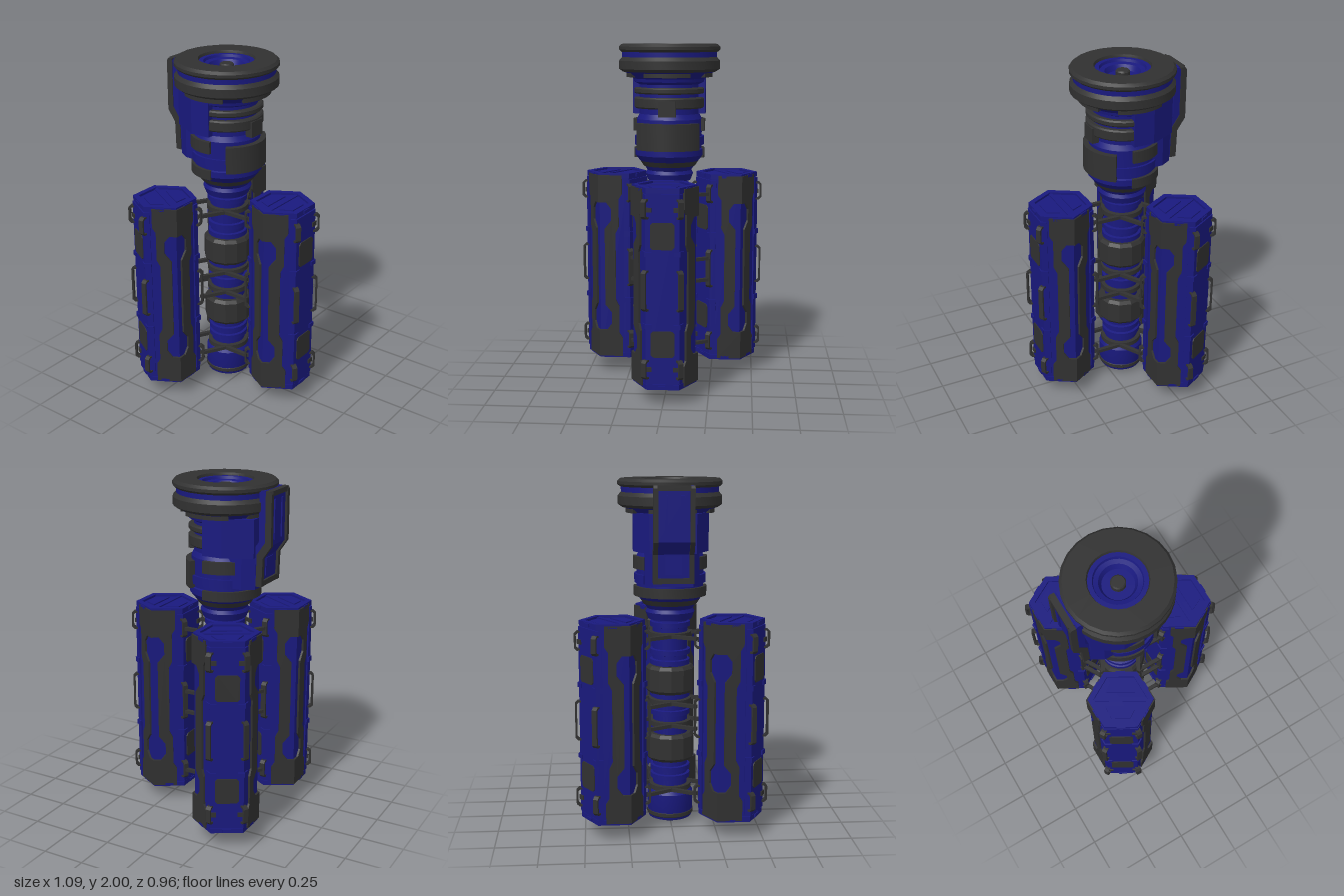
import * as THREE from 'three';
import { toCreasedNormals } from 'three/addons/utils/BufferGeometryUtils.js';

const blue = new THREE.MeshStandardMaterial({ color: 0x19197e });
blue.name = 'navy blue';
const dark = new THREE.MeshStandardMaterial({ color: 0x313131 });
dark.name = 'charcoal';

const R = 0.177, HALF = R / 2, APOTHEM = R * Math.cos(Math.PI / 6);
const MID = 0.665; // middle height of the pods
const rad = THREE.MathUtils.degToRad;

function add(parent, name, geometry, material, x = 0, y = 0, z = 0) {
  const mesh = new THREE.Mesh(geometry, material);
  mesh.name = name;
  mesh.position.set(x, y, z);
  parent.add(mesh);
  return mesh;
}
const box = (parent, name, mat, w, h, d, x, y, z) =>
  add(parent, name, new THREE.BoxGeometry(w, h, d), mat, x, y, z);
const toShape = pts => new THREE.Shape(pts.map(p => new THREE.Vector2(p[0], p[1])));
const extrude = (shape, depth) =>
  new THREE.ExtrudeGeometry(shape, { depth, bevelEnabled: false, curveSegments: 12 });
// Extrude a floor plan upwards
const raise = (shape, h) => extrude(shape, h).rotateX(-Math.PI / 2);

// Turned part; points run from bottom to top on the outside
function lathe(parent, name, mat, pts, sides = 32) {
  const g = new THREE.LatheGeometry(pts.map(p => new THREE.Vector2(p[0], p[1])), sides);
  return add(parent, name, toCreasedNormals(g, 0.4), mat);
}

// Curved plate around the column; angle 0 faces the front
function sector(parent, name, mat, r0, r1, angle, halfAngle, y0, y1) {
  const s = new THREE.Shape();
  const a = -Math.PI / 2 + rad(angle), h = rad(halfAngle);
  s.absarc(0, 0, r1, a - h, a + h, false);
  s.absarc(0, 0, r0, a + h, a - h, true);
  return add(parent, name, toCreasedNormals(raise(s, y1 - y0), 0.4), mat, 0, y0, 0);
}

// Plate on one hexagon face, mitred where it reaches a corner
function facePlate(parent, name, mat, angle, pts, depth) {
  const g = extrude(toShape(pts), depth), p = g.attributes.position;
  for (let i = 0; i < p.count; i++) {
    const x = p.getX(i);
    if (Math.abs(x) > HALF - 0.001) p.setX(i, x + Math.sign(x) * p.getZ(i) * Math.tan(Math.PI / 6));
  }
  g.computeVertexNormals();
  g.translate(0, 0, APOTHEM);
  add(parent, name, g, mat).rotation.y = rad(angle);
}
const rect = (x0, x1, y0, y1) => [[x0, y0], [x1, y0], [x1, y1], [x0, y1]];
const chamfered = (w, h, c, y) => [[-w, y - h + c], [-w + c, y - h], [w - c, y - h], [w, y - h + c],
  [w, y + h - c], [w - c, y + h], [-w + c, y + h], [-w, y + h - c]];
const hexPts = r => [0, 1, 2, 3, 4, 5].map(i =>
  [r * Math.cos(i * Math.PI / 3), r * Math.sin(i * Math.PI / 3)]);

// Looped grab handle standing out from a pod corner
function handle(parent, angle, y, h) {
  const pts = (o, c, x0) => [[x0, -h / 2 + o], [0.045 - o - c, -h / 2 + o], [0.045 - o, -h / 2 + o + c],
    [0.045 - o, h / 2 - o - c], [0.045 - o - c, h / 2 - o], [x0, h / 2 - o]];
  const s = toShape(pts(0, 0.015, -0.01));
  s.holes.push(toShape(pts(0.011, 0.01, 0.004)));
  const g = extrude(s, 0.03).translate(R - 0.01, 0, -0.015);
  add(parent, 'handle', g, dark, 0, y, 0).rotation.y = rad(angle - 90);
}

// Recessed hexagonal end of a pod
function podEnd() {
  const end = new THREE.Group();
  end.name = 'podEnd';
  const rim = toShape(hexPts(R + 0.006));
  rim.holes.push(toShape(hexPts(R - 0.028)));
  add(end, 'endRim', raise(rim, 0.03), blue, 0, -0.01, 0);
  box(end, 'endBar', blue, 2 * R - 0.05, 0.028, 0.022, 0, 0, 0);
  for (const side of [1, -1])
    for (const [k, h] of [[1, 0.008], [0.72, 0.016]]) {
      const t = (0.075 - 0.05 * k) * side, b = (0.075 + 0.045 * k) * side;
      const panel = toShape([[-0.12 * k, t], [0.12 * k, t], [0.072 * k, b], [-0.072 * k, b]]);
      add(end, 'endPanel', raise(panel, h), blue, 0, -0.002, 0);
    }
  for (let i = 0; i < 6; i++) {
    const lug = box(end, 'rimLug', blue, 0.05, 0.018, 0.012, 0, 0.006, 0);
    lug.geometry.translate(0, 0, APOTHEM + 0.006);
    lug.rotation.y = i * Math.PI / 3;
  }
  return end;
}

function pod() {
  const g = new THREE.Group();
  g.name = 'pod';
  const core = new THREE.CylinderGeometry(R, R, 1.115, 6).toNonIndexed();
  core.rotateY(Math.PI / 6);
  core.computeVertexNormals();
  add(g, 'podCore', core, blue, 0, MID, 0);

  // Corner armour with a dumbbell-shaped opening; t runs from the corner
  const lower = [[0, 0.105], [0.135, 0.105], [0.135, 0.22], [0.115, 0.25], [0.115, 0.42], [0.095, 0.46]];
  const slot = [[0.03, 0.43], [0.07, 0.38], [0.07, 0.31], [0.04, 0.27], [0, 0.27]];
  const flip = pts => pts.map(([t, y]) => [t, 2 * MID - y]).reverse();
  const armour = [...lower, ...flip(lower), ...flip(slot), ...slot];
  for (const [angle, sign] of [[60, 1], [120, -1], [240, 1], [300, -1]]) {
    facePlate(g, 'cornerArmour', dark, angle, armour.map(([t, y]) => [sign * (HALF - t), y]), 0.012);
    const edge = [-sign * HALF, -sign * (HALF - 0.03)].sort((a, b) => a - b);
    facePlate(g, 'edgeTrim', blue, angle, rect(edge[0], edge[1], 0.13, 1.2), 0.009);
    for (const y of [0.46, 0.87])
      facePlate(g, 'edgeLug', blue, angle, rect(edge[0], edge[1], y - 0.015, y + 0.015), 0.016);
  }
  // Flat outer and inner faces
  for (const angle of [0, 180]) {
    facePlate(g, 'facePlate', blue, angle, rect(-HALF, HALF, 0.13, 1.2), 0.009);
    for (const y of [0.36, 0.97])
      facePlate(g, 'darkPanel', dark, angle, chamfered(0.067, 0.075, 0.014, y), 0.014);
    for (const [y, mat] of [[0.46, blue], [0.87, blue], [0.215, dark], [1.115, dark]])
      for (const x of [-0.075, 0.075])
        facePlate(g, 'faceLug', mat, angle, rect(x - 0.015, x + 0.015, y - 0.013, y + 0.013), 0.016);
  }
  // Handles on four corners, struts on the inner side
  for (const angle of [30, -30, 150, -150])
    for (const [y, h] of [[0.215, 0.11], [MID, 0.23], [1.12, 0.11]]) handle(g, angle, y, h);
  for (const x of [-0.1, 0.1])
    for (const y of [0.215, 0.6, 0.73, 1.12])
      box(g, 'strut', dark, 0.022, 0.02, 0.17, x, y, -0.255);

  const top = podEnd(), bottom = podEnd();
  top.position.y = 1.215;
  bottom.position.y = 0.115;
  bottom.rotation.x = Math.PI;
  g.add(top, bottom);
  return g;
}

function column(g) {
  lathe(g, 'columnCore', blue, [[0, 0.02], [0.08, 0.02], [0.1, 0.05], [0.1, 1.3], [0, 1.3]]);
  lathe(g, 'columnFoot', blue, [[0, 0], [0.05, 0], [0.09, 0.02], [0.125, 0.03], [0.132, 0.05],
    [0.132, 0.18], [0.12, 0.2], [0.09, 0.2]]);
  lathe(g, 'footRing', dark, [[0.12, 0.035], [0.135, 0.05], [0.135, 0.07], [0.12, 0.08]]);
  for (const y of [0.215, 0.6, 0.73, 1.12])
    lathe(g, 'strutCollar', dark, [[0.09, y - 0.018], [0.122, y - 0.014], [0.122, y + 0.014], [0.09, y + 0.018]]);
  for (const y of [0.28, 0.33, 0.665, 0.77, 0.96, 1.02, 1.18])
    lathe(g, 'columnRing', blue, [[0.09, y - 0.02], [0.115, y - 0.014], [0.115, y + 0.014], [0.09, y + 0.02]]);
  for (const y of [0.46, 0.86])
    lathe(g, 'columnBand', dark, [[0.09, y - 0.08], [0.125, y - 0.08], [0.14, y - 0.062],
      [0.14, y + 0.062], [0.125, y + 0.08], [0.09, y + 0.08]], 12);
}

function head(g) {
  lathe(g, 'neck', blue, [[0, 1.21], [0.125, 1.21], [0.14, 1.25], [0.13, 1.27], [0.15, 1.3], [0.1, 1.31]]);
  lathe(g, 'neckRing', dark, [[0.1, 1.295], [0.152, 1.295], [0.172, 1.325], [0.1, 1.33]]);
  lathe(g, 'neckFlare', blue, [[0.1, 1.32], [0.168, 1.32], [0.2, 1.36], [0.2, 1.395], [0.17, 1.41]]);
  sector(g, 'rearCollar', dark, 0.15, 0.207, 180, 100, 1.345, 1.4);
  lathe(g, 'headBody', blue, [[0.1, 1.38], [0.19, 1.4], [0.19, 1.57], [0.175, 1.6], [0.175, 1.77],
    [0.205, 1.785], [0.21, 1.81], [0.1, 1.81]]);
  sector(g, 'frontGuard', dark, 0.17, 0.222, 0, 55, 1.395, 1.55);
  for (const s of [-1, 1]) {
    sector(g, 'sideGuard', dark, 0.17, 0.21, s * 107, 26, 1.5, 1.57);
    sector(g, 'sideTrim', blue, 0.17, 0.203, s * 90, 40, 1.42, 1.47);
  }
  for (const [y, h] of [[1.665, 0.032], [1.735, 0.018]])
    lathe(g, 'headRib', dark, [[0.16, y - h], [0.198, y - h], [0.206, y - h + 0.008],
      [0.206, y + h - 0.008], [0.198, y + h], [0.16, y + h]]);
  box(g, 'frontTab', dark, 0.1, 0.09, 0.05, 0, 1.635, 0.185);

  // Cap discs and the sunken lens
  lathe(g, 'capFlare', blue, [[0.15, 1.8], [0.205, 1.8], [0.25, 1.835], [0.28, 1.85], [0.15, 1.86]]);
  for (const a of [0, 90, 180, 270]) sector(g, 'flareGuard', dark, 0.15, 0.25, a, 32, 1.812, 1.85);
  lathe(g, 'capRing', dark, [[0.15, 1.842], [0.27, 1.842], [0.293, 1.858], [0.293, 1.905], [0.27, 1.932], [0.15, 1.932]]);
  lathe(g, 'capGroove', blue, [[0.15, 1.92], [0.275, 1.92], [0.275, 1.96], [0.15, 1.96]]);
  lathe(g, 'capDisc', dark, [[0.16, 1.955], [0.28, 1.955], [0.295, 1.968], [0.295, 1.985], [0.28, 2],
    [0.16, 2], [0.155, 1.985], [0.155, 1.95]], 24);
  lathe(g, 'lensRing', blue, [[0.158, 1.985], [0.13, 1.985], [0.125, 1.97], [0.1, 1.965], [0.085, 1.935], [0, 1.935]]);
  lathe(g, 'lensPin', dark, [[0.04, 1.93], [0.04, 1.965], [0.034, 1.972], [0, 1.972]]);
}

function backPack(g) {
  // Housing joined to the back of the head
  const plan = toShape([[-0.21, -0.03], [0.21, -0.03], [0.21, 0.09], [0.13, 0.245], [-0.13, 0.245], [-0.21, 0.09]]);
  add(g, 'housing', raise(plan, 0.215), blue, 0, 1.6, 0);
  const lower = toShape([[-0.15, 0], [0.15, 0], [0.15, 0.18], [0.11, 0.245], [-0.11, 0.245], [-0.15, 0.18]]);
  add(g, 'lowerHousing', raise(lower, 0.19), blue, 0, 1.42, 0);

  // Stepped side profile shared by the rails, panel and backing
  const slice = (name, mat, w, x, front, back) => {
    const s = toShape([[0.285 - front, 1.44], [0.285 - back, 1.44], [0.29 - back, 1.6], [0.338 - back, 1.67],
      [0.338 - back, 1.955], [0.328 - back, 1.97], [0.338 - front, 1.97], [0.338 - front, 1.69], [0.29 - front, 1.62]]);
    const e = extrude(s, w).translate(0, 0, -w / 2).rotateY(Math.PI / 2);
    add(g, name, e, mat, x, 0, 0);
  };
  for (const s of [-1, 1]) slice('packRail', dark, 0.026, s * 0.099, 0.036, 0);
  slice('packPanel', blue, 0.18, 0, 0.04, 0.014);
  slice('packBacking', blue, 0.216, 0, 0.075, 0.034);
  box(g, 'packTopBar', dark, 0.18, 0.028, 0.034, 0, 1.957, -0.32);
  box(g, 'packBottomBar', dark, 0.18, 0.03, 0.034, 0, 1.456, -0.267);
  for (const s of [-1, 1]) box(g, 'packRib', blue, 0.02, 0.22, 0.012, s * 0.045, 1.81, -0.326);
  box(g, 'packLowerBlock', blue, 0.09, 0.1, 0.012, 0, 1.54, -0.274);
}

export function createModel() {
  const model = new THREE.Group();
  model.name = 'device';
  const body = new THREE.Group();
  body.name = 'body';
  body.position.z = -0.1;
  model.add(body);
  for (const build of [column, head, backPack]) build(body);
  // Three pods evenly spaced around the column
  for (const angle of [0, 120, 240]) {
    const p = pod();
    p.position.set(0.387 * Math.sin(rad(angle)), 0, 0.387 * Math.cos(rad(angle)));
    p.rotation.y = rad(angle);
    body.add(p);
  }
  return model;
}
